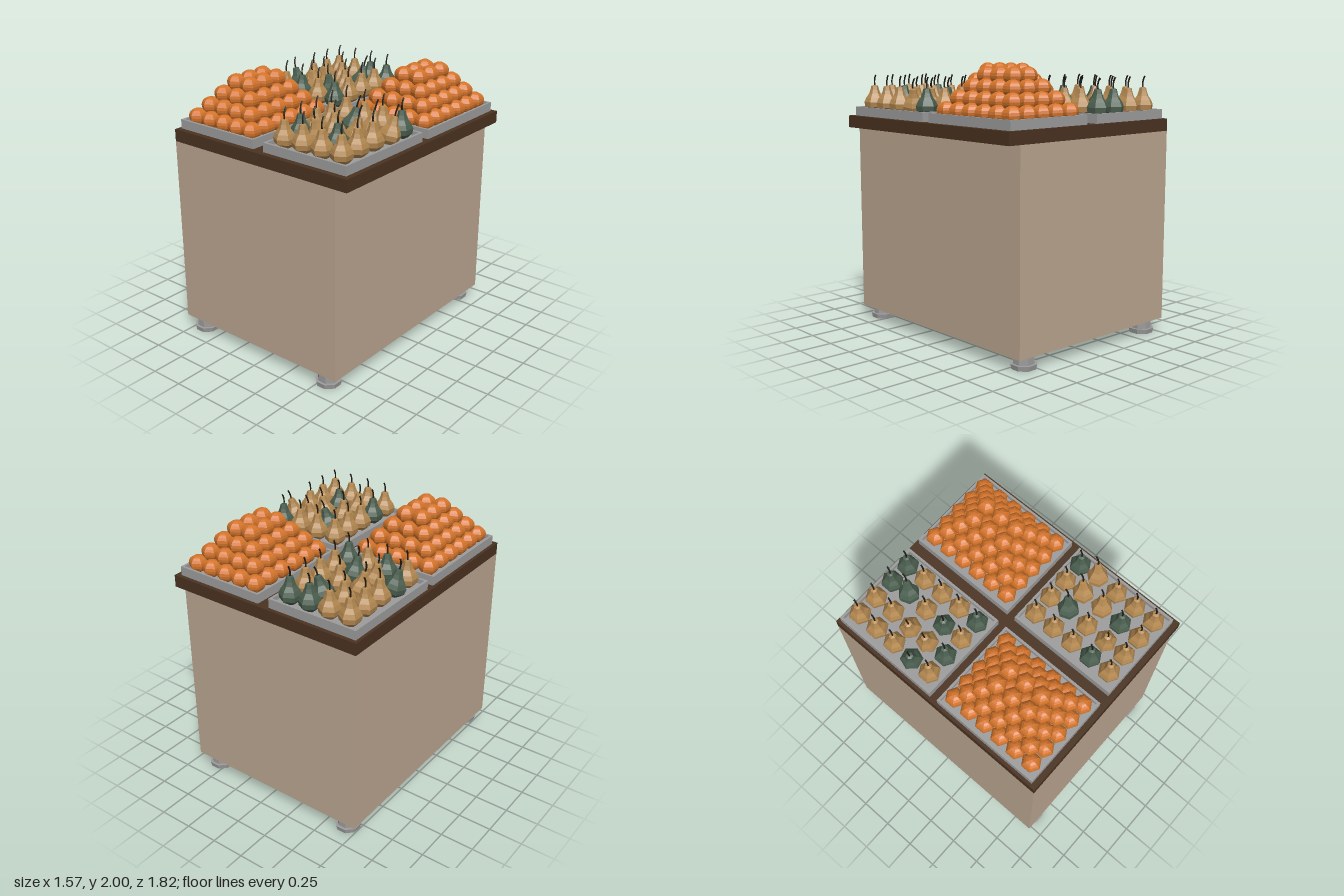
import * as THREE from 'three';

const mat = (name, color, opts = {}) => {
  const m = new THREE.MeshStandardMaterial({ color, ...opts });
  m.name = name;
  return m;
};

export function createModel() {
  const root = new THREE.Group();
  root.name = 'produceStand';
  const flat = { flatShading: true };
  const M = {
    panel: mat('beige panel', 0xbaa58f),
    wood: mat('dark wood', 0x4a3220),
    metal: mat('grey metal', 0x9c9c9c, flat),
    orange: mat('pumpkin orange', 0xd4742b, flat),
    tan: mat('gourd tan', 0xb38850, flat),
    green: mat('gourd green', 0x4b5f4f, flat),
    stem: mat('stem black', 0x1f1b15, flat),
  };

  const add = (parent, name, geo, material, x = 0, y = 0, z = 0) => {
    const m = new THREE.Mesh(geo, material);
    m.name = name;
    m.position.set(x, y, z);
    parent.add(m);
    return m;
  };
  // box given by its limits
  const box = (parent, name, material, x0, x1, y0, y1, z0, z1) =>
    add(parent, name, new THREE.BoxGeometry(x1 - x0, y1 - y0, z1 - z0), material,
      (x0 + x1) / 2, (y0 + y1) / 2, (z0 + z1) / 2);

  // cabinet and overhanging counter
  box(root, 'cabinet', M.panel, -0.785, 0.685, 0.1, 1.52, -0.91, 0.91);
  box(root, 'counterTop', M.wood, -0.785, 0.78, 1.52, 1.61, -0.91, 0.91);

  // feet: wide octagonal pad with a narrower post
  const pad = new THREE.CylinderGeometry(0.097, 0.09, 0.036, 8).rotateY(Math.PI / 8);
  const post = new THREE.CylinderGeometry(0.077, 0.077, 0.066, 8).rotateY(Math.PI / 8);
  for (const x of [-0.66, 0.555]) for (const z of [-0.812, 0.825]) {
    const foot = new THREE.Group();
    foot.name = 'foot';
    foot.position.set(x, 0, z);
    add(foot, 'footPad', pad, M.metal, 0, 0.018, 0);
    add(foot, 'footPost', post, M.metal, 0, 0.068, 0);
    root.add(foot);
  }

  // tray: raised rim around a recessed floor
  const W = 0.705, D = 0.84, RIM = 0.018;
  const rect = (Cls, w, d) => new Cls([
    new THREE.Vector2(-w / 2, -d / 2), new THREE.Vector2(w / 2, -d / 2),
    new THREE.Vector2(w / 2, d / 2), new THREE.Vector2(-w / 2, d / 2)]);
  const rimShape = rect(THREE.Shape, W, D);
  rimShape.holes.push(rect(THREE.Path, W - 2 * RIM, D - 2 * RIM));
  const rimGeo = new THREE.ExtrudeGeometry(rimShape, { depth: 0.068, bevelEnabled: false }).rotateX(-Math.PI / 2);
  const floorGeo = new THREE.BoxGeometry(W - 2 * RIM, 0.035, D - 2 * RIM);
  const tray = (name, x, z) => {
    const g = new THREE.Group();
    g.name = name;
    g.position.set(x, 1.61, z);
    add(g, 'trayRim', rimGeo, M.metal);
    add(g, 'trayFloor', floorGeo, M.metal, 0, 0.0175, 0);
    root.add(g);
    return g;
  };

  // six-sided pumpkin stacked in a four-layer pyramid
  const arc = [];
  for (let i = 0; i <= 10; i++) {
    const a = (i / 10 - 0.5) * Math.PI;
    arc.push(new THREE.Vector2(Math.max(0, 0.071 * Math.cos(a)), 0.0625 * Math.sin(a)));
  }
  const pumpkinGeo = new THREE.LatheGeometry(arc, 6);
  const pumpkinPile = (g) => {
    for (let l = 0; l < 4; l++) {
      const nx = 5 - l, nz = 6 - l;
      for (let i = 0; i < nx; i++) for (let k = 0; k < nz; k++)
        add(g, 'pumpkin', pumpkinGeo, M.orange,
          (i - (nx - 1) / 2) * 0.13, 0.088 + l * 0.08, (k - (nz - 1) / 2) * 0.134);
    }
  };

  // six-sided gourd with a long neck and bent stem
  const gourdGeo = new THREE.LatheGeometry(
    [[0, 0], [0.045, 0.002], [0.074, 0.032], [0.08, 0.068], [0.066, 0.1], [0.043, 0.132],
      [0.032, 0.162], [0.025, 0.19], [0, 0.197]].map(p => new THREE.Vector2(...p)), 6);
  const stemGeo = new THREE.TubeGeometry(new THREE.CatmullRomCurve3([
    new THREE.Vector3(0, 0.19, 0), new THREE.Vector3(0, 0.225, 0.002),
    new THREE.Vector3(0, 0.255, -0.006), new THREE.Vector3(0, 0.275, -0.018)]), 5, 0.006, 5);
  // T/G upright tan/green; t/g leaning, with lean directions (x, z) listed in order
  const gourdRows = (g, rows, leans) => {
    let n = 0;
    rows.forEach((row, k) => [...row].forEach((c, i) => {
      const gourd = new THREE.Group();
      gourd.name = 'gourd';
      gourd.position.set((i - 1.5) * 0.161, 0.035, (k - 2) * 0.1625);
      add(gourd, 'gourdBody', gourdGeo, c.toUpperCase() === 'G' ? M.green : M.tan);
      add(gourd, 'gourdStem', stemGeo, M.stem);
      if (c === c.toLowerCase()) {
        const [lx, lz] = leans[n++];
        gourd.rotation.set(lz * 0.16, 0.3 * lx, -lx * 0.16);
      }
      g.add(gourd);
    }));
  };

  pumpkinPile(tray('pumpkinTrayFront', -0.409, 0.448));
  pumpkinPile(tray('pumpkinTrayBack', 0.389, -0.46));
  gourdRows(tray('gourdTrayBack', -0.409, -0.46),
    ['TTGG', 'TTgT', 'TtTT', 'gtgT', 'TGTG'],
    [[1, -1], [-1, 1], [-1, 1], [-1, 0.6], [-0.6, 0.8]]);
  gourdRows(tray('gourdTrayFront', 0.389, 0.448),
    ['TTTG', 'Tgtt', 'TTtT', 'GtGT', 'TTTT'],
    [[1, -1], [0.8, -1], [1, -1], [0.8, -0.6], [-0.6, 0.8]]);
  return root;
}
